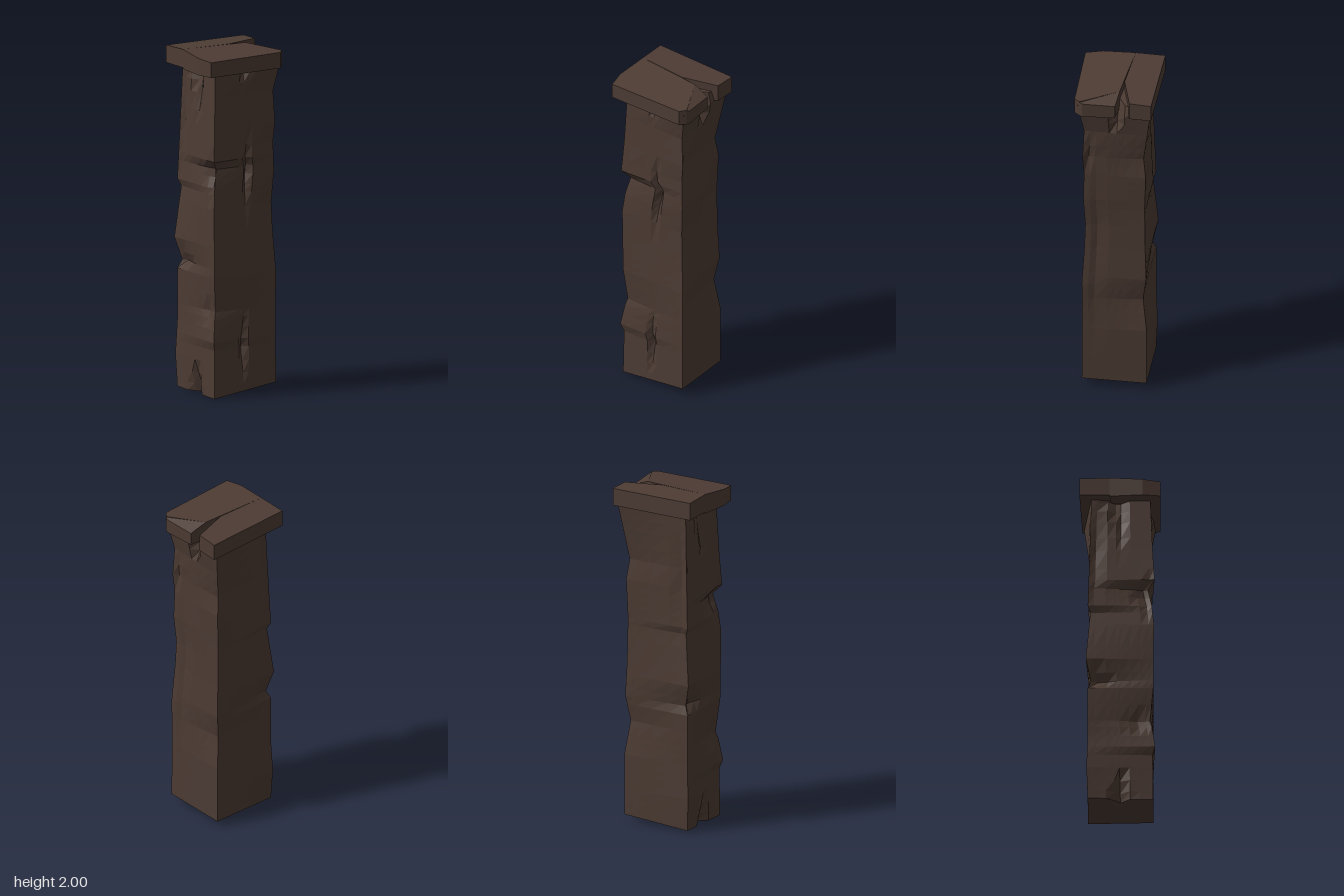
import * as THREE from 'three';

// Plan corners: front left, front right, right back, back left
const corners = [[-0.24, 0.13], [0.11, 0.26], [0.25, -0.13], [-0.09, -0.26]];
const baseReach = [0.24, 0.26, 0.25, 0.26];
const floorY = [0.01, 0, 0.05, 0.04];

// Worn reach of every corner edge: [height, reach]
const reach = [
  [[0, 0.24], [0.2, 0.25], [0.4, 0.24], [0.7, 0.24], [0.75, 0.215], [0.88, 0.255], [1.18, 0.22], [1.22, 0.24], [1.45, 0.23], [1.95, 0.21]],
  [[0, 0.26], [0.28, 0.255], [0.33, 0.275], [0.46, 0.25], [0.5, 0.235], [0.7, 0.26], [1.1, 0.265], [1.22, 0.25], [1.33, 0.22], [1.38, 0.27], [1.57, 0.255], [1.95, 0.235]],
  [[0, 0.26], [0.46, 0.258], [0.7, 0.26], [0.95, 0.242], [1.1, 0.236], [1.28, 0.25], [1.45, 0.245], [1.57, 0.255], [1.75, 0.245], [1.95, 0.29]],
  [[0, 0.26], [0.4, 0.26], [0.6, 0.225], [0.75, 0.255], [0.95, 0.245], [1.22, 0.24], [1.45, 0.25], [1.57, 0.23], [1.95, 0.305]],
];

// Columns across each face and the heights of the rings
const columns = [
  [0, 0.1, 0.28, 0.42, 0.5, 0.65, 0.8, 0.92],
  [0, 0.1, 0.4, 0.48, 0.56, 0.64, 0.85],
  [0, 0.1, 0.2, 0.4, 0.52, 0.64, 0.85],
  [0, 0.15, 0.4, 0.7, 0.9],
];
const levels = [0, 0.05, 0.12, 0.2, 0.28, 0.33, 0.4, 0.46, 0.5, 0.6, 0.7, 0.75, 0.8, 0.88, 0.95, 1.1, 1.18,
  1.22, 1.28, 1.33, 1.38, 1.45, 1.57, 1.65, 1.75, 1.82, 1.88, 1.95];

// Diamond shaped chips and gashes: [face, across, height, half width, half height, depth]
const chips = [
  [0, 0.5, 0, 0.16, 0.2, 0.06],
  [0, 0.15, 0.76, 0.28, 0.07, 0.03],
  [0, 0.92, 1.28, 0.25, 0.14, 0.025],
  [0, 0.42, 1.9, 0.25, 0.14, 0.05],
  [0, 0.5, 1.78, 0.14, 0.22, 0.03],
  [0, 0.1, 1.57, 0.1, 0.4, 0.015],
  [0, 0.8, 0.48, 0.3, 0.07, 0.02],
  [1, 0.56, 1.28, 0.08, 0.24, 0.04],
  [1, 0.48, 0.28, 0.08, 0.22, 0.035],
  [1, 0.48, 1.92, 0.16, 0.11, 0.05],
  [2, 0.52, 1.95, 0.16, 0.2, 0.12],
  [2, 0.1, 1.57, 0.15, 0.12, 0.02],
  [2, 0.2, 0.95, 0.1, 0.7, 0.01],
  [3, 0.9, 1.45, 0.15, 0.4, 0.015],
];

function sample(table, y) {
  for (let i = 1; i < table.length; i++) {
    const [y0, a] = table[i - 1], [y1, b] = table[i];
    if (y <= y1) return a + (b - a) * (y - y0) / (y1 - y0);
  }
  return table[table.length - 1][1];
}

function cornerAt(k, y) {
  const s = sample(reach[k], y) / baseReach[k];
  return [corners[k][0] * s, corners[k][1] * s];
}

// One ring of the post at a given height
function ring(y) {
  const points = [];
  for (let f = 0; f < 4; f++) {
    const n = (f + 1) % 4;
    const a = cornerAt(f, y), b = cornerAt(n, y);
    const dx = b[0] - a[0], dz = b[1] - a[1], len = Math.hypot(dx, dz);
    for (const u of columns[f]) {
      let depth = 0;
      for (const [face, cu, cy, du, dy, d] of chips) {
        if (face === f && u > 0) depth += d * Math.max(0, 1 - Math.abs(u - cu) / du - Math.abs(y - cy) / dy);
      }
      const ground = floorY[f] + (floorY[n] - floorY[f]) * u;
      points.push([
        a[0] + dx * u + depth * dz / len,
        y + ground * Math.max(0, 1 - y / 0.2),
        a[1] + dz * u - depth * dx / len,
      ]);
    }
  }
  return points;
}

function postGeometry() {
  const rings = levels.map(ring);
  const count = rings[0].length, last = rings.length - 1;
  const top = [0, levels[last], 0], bottom = [0, 0.025, 0];
  const out = [];
  const tri = (...p) => p.forEach((v) => out.push(...v));
  for (let i = 0; i < count; i++) {
    const n = (i + 1) % count;
    for (let j = 0; j < last; j++) {
      const a = rings[j][i], b = rings[j][n], c = rings[j + 1][n], d = rings[j + 1][i];
      tri(a, b, c);
      tri(a, c, d);
    }
    tri(rings[last][i], rings[last][n], top);
    tri(rings[0][n], rings[0][i], bottom);
  }
  const geometry = new THREE.BufferGeometry();
  geometry.setAttribute('position', new THREE.Float32BufferAttribute(out, 3));
  geometry.computeVertexNormals();
  return geometry;
}

// A slab piece with a flat underside and a top that follows a height rule
function slabGeometry(outline, topY, bottomY) {
  const shape = new THREE.Shape(outline.map(([x, z]) => new THREE.Vector2(x, -z)));
  const geometry = new THREE.ExtrudeGeometry(shape, { depth: 1, bevelEnabled: false });
  geometry.rotateX(-Math.PI / 2);
  const p = geometry.attributes.position;
  for (let i = 0; i < p.count; i++) {
    p.setY(i, p.getY(i) > 0.5 ? topY(p.getX(i), p.getZ(i)) : bottomY);
  }
  geometry.computeVertexNormals();
  return geometry;
}

export function createModel() {
  const model = new THREE.Group();
  model.name = 'weatheredPost';
  const wood = new THREE.MeshStandardMaterial({ color: 0x4d3c34, flatShading: true });
  wood.name = 'dark brown';

  const add = (name, geometry) => {
    const mesh = new THREE.Mesh(geometry, wood);
    mesh.name = name;
    model.add(mesh);
  };

  add('post', postGeometry());

  // Split cap: two halves meeting on a ridge, with a broken rear edge
  const fromRidge = (x, z) => (x + 0.14) * 0.9 + (z - 0.215) * 0.44;
  add('capLeftHalf', slabGeometry(
    [[-0.3, 0.155], [-0.14, 0.215], [-0.01, -0.055], [0.015, -0.275], [-0.1, -0.325]],
    (x, z) => 2 + 0.03 * Math.min(0, fromRidge(x, z)), 1.893));
  add('capRightHalf', slabGeometry(
    [[-0.14, 0.215], [0.03, 0.3], [0.13, 0.32], [0.3, -0.125], [0.28, -0.165], [0.04, -0.145]],
    (x, z) => 2 - 0.09 * Math.max(0, fromRidge(x, z)), 1.885));
  add('capBrokenEdge', slabGeometry(
    [[0.04, -0.145], [0.28, -0.165], [0.27, -0.178], [0.09, -0.235]],
    (x, z) => 2 - 0.09 * Math.max(0, fromRidge(x, z)) + 0.45 * Math.min(0, z + 0.155), 1.885));

  return model;
}
